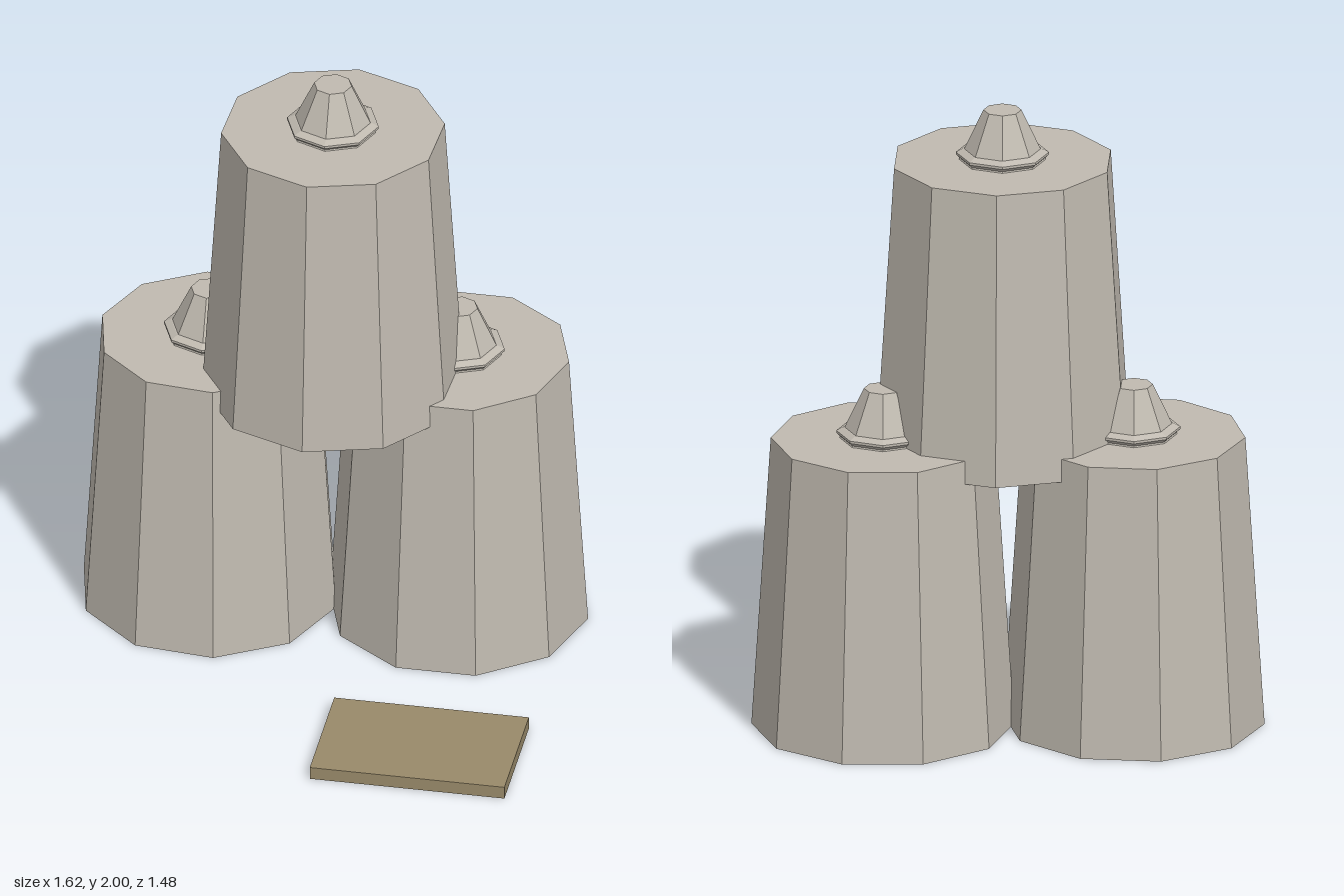
import * as THREE from 'three';

const stone = new THREE.MeshStandardMaterial({ color: 0xc0bab0, flatShading: true });
stone.name = 'pale stone';
const wood = new THREE.MeshStandardMaterial({ color: 0x998a6a, flatShading: true });
wood.name = 'tan wood';

const HEIGHT = 0.955;

// One tapered ten-sided body with an eight-sided collar and cap on top
function createCask(name, x, y, z, turn) {
  const cask = new THREE.Group();
  cask.name = name;
  cask.position.set(x, y, z);

  const body = new THREE.Mesh(new THREE.CylinderGeometry(0.354, 0.415, HEIGHT, 10), stone);
  body.name = 'body';
  body.position.y = HEIGHT / 2;
  body.rotation.y = turn;
  cask.add(body);

  // Thin bevelled collar around the foot of the cap
  const profile = [[0.13, 0], [0.147, 0.016], [0.147, 0.024], [0.125, 0.035], [0.1, 0.035]];
  const collar = new THREE.Mesh(
    new THREE.LatheGeometry(profile.map(([r, h]) => new THREE.Vector2(r, h)), 8), stone);
  collar.name = 'collar';
  collar.position.y = HEIGHT;
  cask.add(collar);

  const cap = new THREE.Mesh(new THREE.CylinderGeometry(0.06, 0.137, 0.165, 8), stone);
  cap.name = 'cap';
  cap.position.y = HEIGHT + 0.0825;
  cask.add(cap);
  return cask;
}

export function createModel() {
  const model = new THREE.Group();
  model.name = 'stackedCasks';

  // Two on the ground, one resting on top
  model.add(
    createCask('rightCask', -0.397, 0, -0.305, 0.21),
    createCask('leftCask', 0.395, 0, -0.345, 0.314),
    createCask('topCask', 0.018, 0.88, -0.2, -0.05));

  // Board lying in front
  const board = new THREE.Mesh(new THREE.BoxGeometry(0.625, 0.042, 0.416), wood);
  board.name = 'board';
  board.position.set(0.433, 0.021, 0.53);
  model.add(board);
  return model;
}
